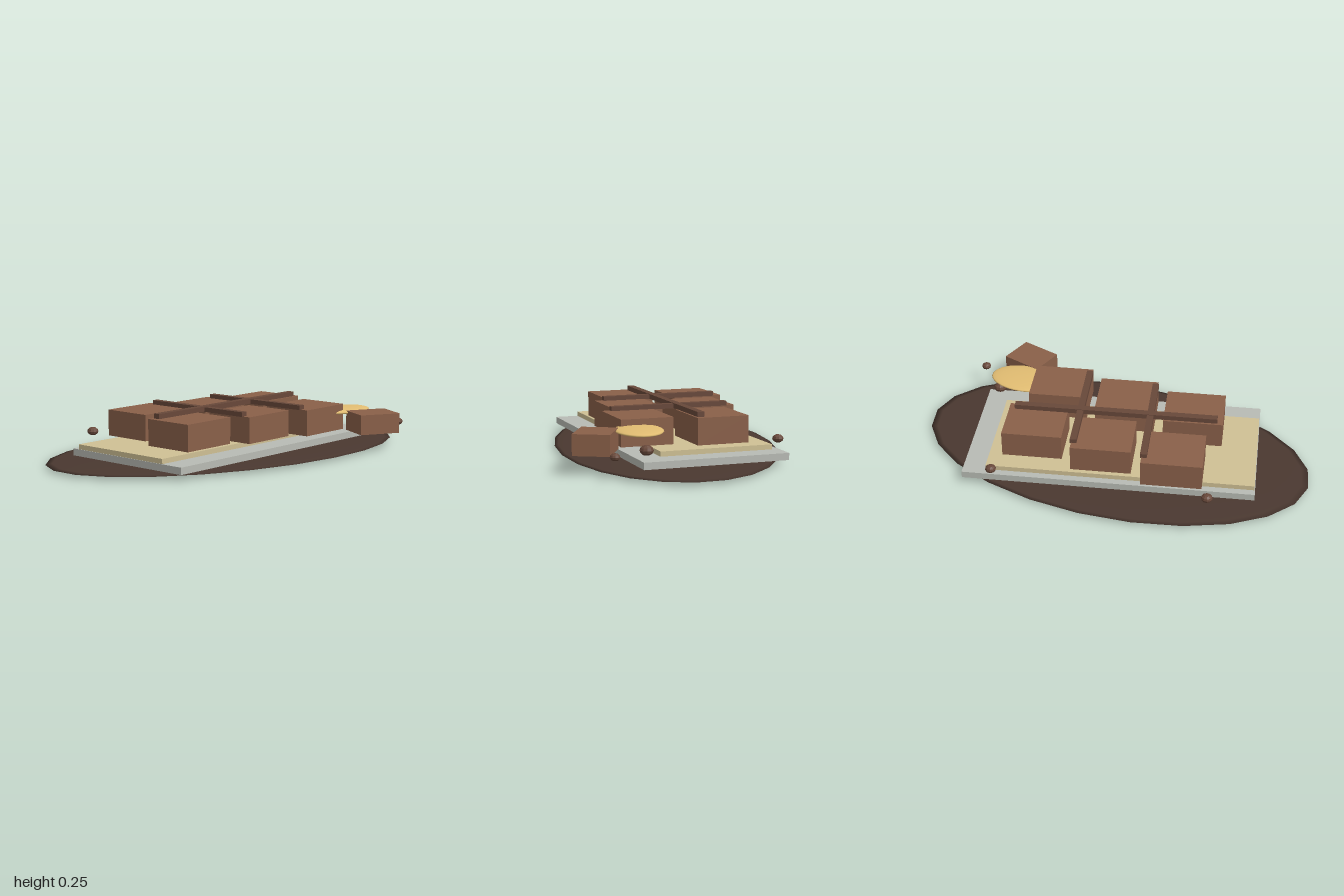
import * as THREE from 'three';

const TILT = THREE.MathUtils.degToRad(12);
const material = (color, flatShading = false) => new THREE.MeshStandardMaterial({ color, flatShading });

export function createModel() {
  const model = new THREE.Group();
  const cocoa = material(0x4a3830);
  const chocolate = material(0x8a6049);
  const darkChocolate = material(0x68483a);
  const silver = material(0xb8bbb4);
  const paper = material(0xcfc094);
  const gold = material(0xe2bd72);
  const crumb = material(0x68483a, true);

  function add(name, geometry, mat, x, y, z, turn = 0) {
    const mesh = new THREE.Mesh(geometry, mat);
    mesh.name = name;
    mesh.position.set(x, y, z);
    mesh.rotation.y = turn;
    model.add(mesh);
    return mesh;
  }

  // box given by its bottom and top heights
  function slab(name, mat, w, d, y0, y1, x, z, turn = TILT) {
    return add(name, new THREE.BoxGeometry(w, y1 - y0, d), mat, x, (y0 + y1) / 2, z, turn);
  }

  function ellipsoid(name, mat, rx, ry, rz, x, y, z, segments, rings) {
    const geometry = new THREE.SphereGeometry(1, segments, rings).scale(rx, ry, rz);
    return add(name, geometry, mat, x, y, z);
  }

  // thin oval plate and the two wrapper layers
  ellipsoid('plate', cocoa, 1, 0.015, 0.55, 0, 0.015, 0, 24, 12);
  slab('foilSheet', silver, 1.44, 0.716, 0.032, 0.066, 0, 0);
  slab('paperSheet', paper, 1.323, 0.56, 0.066, 0.09, -0.063, -0.03);

  // two rows of three squares
  for (const z of [-0.18, 0.18]) {
    for (const x of [-0.36, 0, 0.36]) {
      slab('chocolateSquare', chocolate, 0.298, 0.258, 0.094, 0.224, x, z);
    }
  }

  // dividing bars across the top
  slab('longDivider', darkChocolate, 1.02, 0.035, 0.223, 0.248, 0, 0);
  for (const x of [-0.18, 0.18]) {
    slab('crossDivider', darkChocolate, 0.033, 0.6, 0.222, 0.245, x, 0);
  }

  // broken-off piece and almond flake
  slab('loosePiece', chocolate, 0.213, 0.175, 0.09, 0.19, 0.62, 0.403, -0.29);
  ellipsoid('almondFlake', gold, 0.175, 0.016, 0.115, 0.58, 0.181, 0.198, 24, 12);

  // crumbs: x, z, radius
  const crumbs = [
    [-0.58, -0.35, 0.028],
    [0.48, -0.48, 0.027],
    [0.86, 0.34, 0.024],
    [0.71, 0.18, 0.033],
  ];
  for (const [x, z, r] of crumbs) {
    ellipsoid('crumb', crumb, r, r * 0.75, r, x, 0.11, z, 10, 6);
  }

  return model;
}
